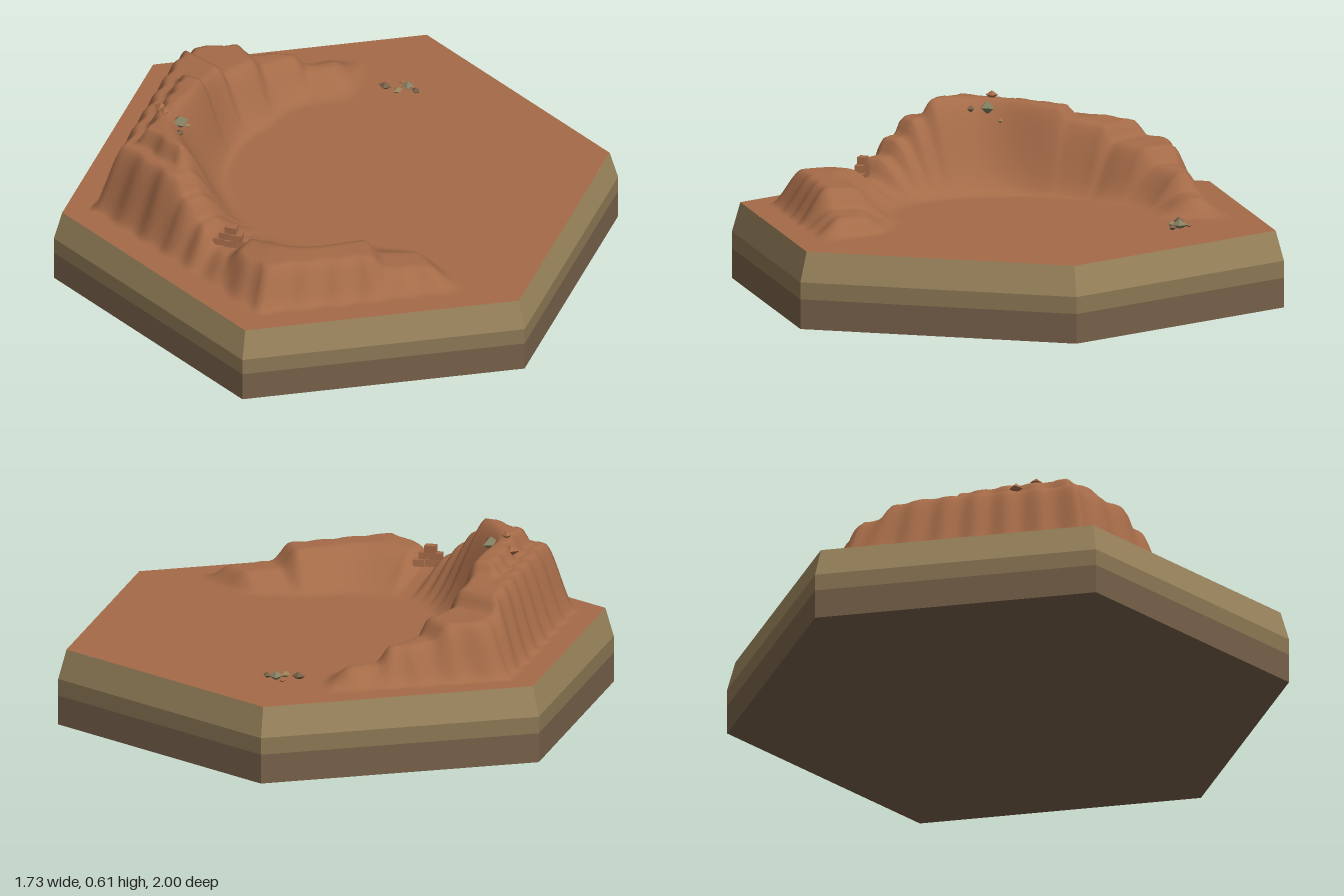
import * as THREE from 'three';

const mat = (name, color) => {
  const m = new THREE.MeshStandardMaterial({ color });
  m.name = name;
  return m;
};
const RAD = Math.PI / 180;
const TOP = 0.27;

// Angles run in degrees from the front (+z) towards -x.
// Ridge height above the ground: [angle, height]
const CREST = [[-54, 0], [-47, 0.058], [-36, 0.062], [-29, 0.125], [0, 0.13], [10, 0.12],
  [15, 0.07], [21, 0.07], [25, 0.13], [29, 0.135], [32, 0.19], [36, 0.195], [39, 0.25],
  [43, 0.26], [47, 0.32], [75, 0.31], [94, 0.30], [98, 0.26], [112, 0.245], [116, 0.19],
  [130, 0.185], [135, 0.13], [147, 0.12], [152, 0.062], [160, 0.058], [169, 0]];
// Foot and top radius of the inner slope
const FOOT = [[-60, 0.5], [-30, 0.38], [0, 0.39], [30, 0.37], [60, 0.36], [90, 0.38], [120, 0.4], [150, 0.48], [180, 0.52]];
const RIM = [[-60, 0.62], [-30, 0.56], [0, 0.63], [30, 0.6], [60, 0.6], [90, 0.52], [120, 0.56], [150, 0.63], [180, 0.66]];

// Eased lookup in a table of [angle, value] pairs
function lookup(table, a) {
  if (a <= table[0][0]) return table[0][1];
  for (let i = 1; i < table.length; i++) {
    const [a0, v0] = table[i - 1], [a1, v1] = table[i];
    if (a <= a1) return v0 + (v1 - v0) * THREE.MathUtils.smoothstep(a, a0, a1);
  }
  return table[table.length - 1][1];
}

// Cosine that turns a radius into distance from the nearest hexagon side
const sideCos = (a) => Math.cos(((((a % 60) + 60) % 60) - 30) * RAD);

function height(a, r) {
  const h = lookup(CREST, a);
  if (h <= 0) return TOP;
  const foot = lookup(FOOT, a), rim = lookup(RIM, a);
  const t = THREE.MathUtils.clamp((r - foot) / (rim - foot), 0, 1);
  const inner = THREE.MathUtils.smoothstep(Math.pow(t, 1.2), 0, 1);
  const d = r * sideCos(a) + 0.006 * Math.sin(a * 0.7);
  const outer = 1 - THREE.MathUtils.smoothstep(d, 0.64, 0.75);
  // shoulder just below the highest crest
  const shoulder = Math.min(h, 0.255);
  const cap = h - (h - shoulder) * THREE.MathUtils.smoothstep(d, 0.57, 0.61);
  return TOP + cap * inner * outer;
}

// Ground and ridge as one polar sheet
function terrainGeometry() {
  const AN = 300, RN = 56, EDGE = 0.97 * 0.866;
  const pos = [], idx = [];
  for (let j = 0; j <= RN; j++) {
    // half of the rings follow the inner circle, blending to the hexagon outside
    const f = j === 0 ? 0 : 0.33 + 0.67 * (j - 1) / (RN - 1);
    for (let i = 0; i <= AN; i++) {
      const a = -90 + 360 * i / AN;
      const hexR = EDGE / sideCos(a);
      const r = f * hexR;
      const s = Math.sin(a * RAD), c = Math.cos(a * RAD);
      pos.push(-s * r, height(a, r), c * r);
    }
  }
  const w = AN + 1;
  for (let j = 0; j < RN; j++) {
    for (let i = 0; i < AN; i++) {
      const p = j * w + i, q = p + w;
      if (j > 0) idx.push(p, p + 1, q);
      idx.push(p + 1, q + 1, q);
    }
  }
  const g = new THREE.BufferGeometry();
  g.setAttribute('position', new THREE.Float32BufferAttribute(pos, 3));
  g.setIndex(idx);
  g.computeVertexNormals();
  return g;
}

// Flat-sided hexagonal band
function hexBand(rTop, rBottom, y0, y1, open) {
  const g = new THREE.CylinderGeometry(rTop, rBottom, y1 - y0, 6, 1, open).toNonIndexed();
  g.translate(0, (y0 + y1) / 2, 0);
  g.computeVertexNormals();
  return g;
}

export function createModel() {
  const clay = mat('red clay', 0xa56b48);
  const sand = mat('tan stone', 0x9a845c);
  const midSand = mat('dull tan stone', 0x8c7754);
  const earth = mat('brown earth', 0x766049);
  const sage = mat('grey green stone', 0x858062);
  const model = new THREE.Group();
  const add = (parent, name, geo, material) => {
    const m = new THREE.Mesh(geo, material);
    m.name = name;
    parent.add(m);
    return m;
  };

  // Hexagonal base in three layers
  add(model, 'lowerBase', hexBand(1, 1, 0, 0.105, false), earth);
  add(model, 'middleBase', hexBand(1, 1, 0.105, 0.165, true), midSand);
  add(model, 'bevelledBase', hexBand(0.97, 1, 0.165, TOP, true), sand);

  add(model, 'terrain', terrainGeometry(), clay);

  // Loose rocks: x, z, radius, material
  const rockGeo = new THREE.OctahedronGeometry(1);
  const scatter = (name, list) => {
    const group = new THREE.Group();
    group.name = name;
    list.forEach(([x, z, r, material], i) => {
      let a = Math.atan2(-x, z) / RAD;
      if (a < -90) a += 360;
      const rock = add(group, 'rock', rockGeo, material);
      rock.scale.set(r, r * 0.7, r * 0.8);
      rock.position.set(x, height(a, Math.hypot(x, z)) + r * 0.4, z);
      rock.rotation.y = i * 0.9;
    });
    model.add(group);
  };
  scatter('crestRocks', [[-0.59, 0.155, 0.03, clay], [-0.5, 0.22, 0.036, sage],
    [-0.555, 0.22, 0.022, clay], [-0.48, 0.275, 0.018, earth], [-0.49, 0.17, 0.013, sand]]);
  scatter('groundRocks', [[-0.03, -0.61, 0.024, earth], [0.02, -0.6, 0.02, sand],
    [0.045, -0.635, 0.028, sage], [0.08, -0.62, 0.018, earth], [0.015, -0.66, 0.012, clay]]);

  // Stacked bricks in the gap of the ridge
  const bricks = new THREE.Group();
  bricks.name = 'brickPile';
  const brickGeo = new THREE.BoxGeometry(0.041, 0.025, 0.03);
  [3, 2, 1].forEach((count, row) => {
    for (let i = 0; i < count; i++) {
      const b = add(bricks, 'brick', brickGeo, clay);
      b.position.set((i - (count - 1) / 2) * 0.043, 0.0125 + row * 0.026, (i % 2) * 0.006);
      b.rotation.y = (i - row) * 0.06;
    }
  });
  bricks.position.set(-0.185, 0.342, 0.58);
  bricks.rotation.y = 0.1;
  model.add(bricks);

  return model;
}
